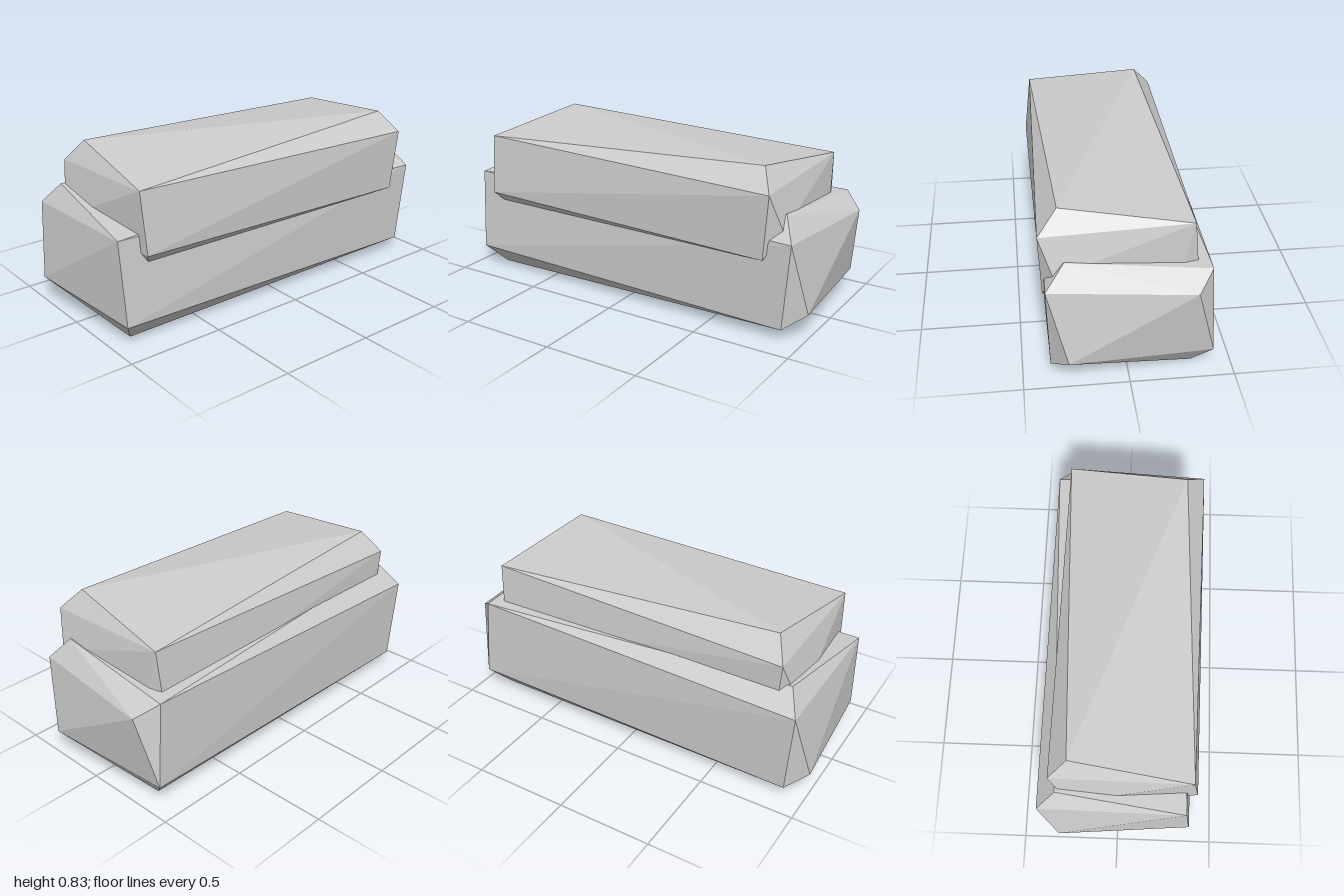
import * as THREE from 'three';
import { ConvexGeometry } from 'three/addons/geometries/ConvexGeometry.js';

// One chipped stone block: the convex hull of its bevelled corners
function stoneBlock(name, corners, material) {
  const points = corners.map(([x, y, z]) => new THREE.Vector3(x, y, z));
  const mesh = new THREE.Mesh(new ConvexGeometry(points), material);
  mesh.name = name;
  return mesh;
}

export function createModel() {
  const group = new THREE.Group();
  group.name = 'stackedStones';
  const stone = new THREE.MeshStandardMaterial({ color: 0xcccccc, flatShading: true });
  stone.name = 'pale grey stone';

  // Wide lower block, front corners then back corners
  const lower = [
    [-0.31, 0.61, 0.87], [0.345, 0.54, 0.95], [0.382, 0.11, 0.94], [-0.31, 0.13, 1],
    [-0.405, 0.5, 0.935], [-0.39, 0.06, 0.9], [-0.31, 0, 0.87], [0.285, 0, 0.87],
    [0.29, 0.61, -0.87], [0.382, 0.5, -0.94], [0.367, 0.06, -0.9], [-0.31, 0.48, -1],
    [-0.39, 0.55, -0.9], [-0.405, 0.11, -0.94], [-0.31, 0, -0.87], [0.285, 0.13, -1],
  ];

  // Smaller upper block, sunk into the lower one and overhanging on the left
  const upper = [
    [-0.245, 0.833, 0.76], [0.37, 0.763, 0.84], [0.405, 0.453, 0.83], [-0.245, 0.46, 0.89],
    [-0.34, 0.72, 0.825], [-0.33, 0.42, 0.8], [-0.25, 0.38, 0.76], [0.36, 0.403, 0.8],
    [0.31, 0.833, -0.76], [0.405, 0.725, -0.83], [0.39, 0.4, -0.8], [-0.25, 0.5, -0.86],
    [-0.31, 0.763, -0.845], [-0.34, 0.45, -0.83], [-0.25, 0.38, -0.76], [0.34, 0.54, -0.88],
  ];

  group.add(stoneBlock('lowerStone', lower, stone), stoneBlock('upperStone', upper, stone));
  return group;
}
